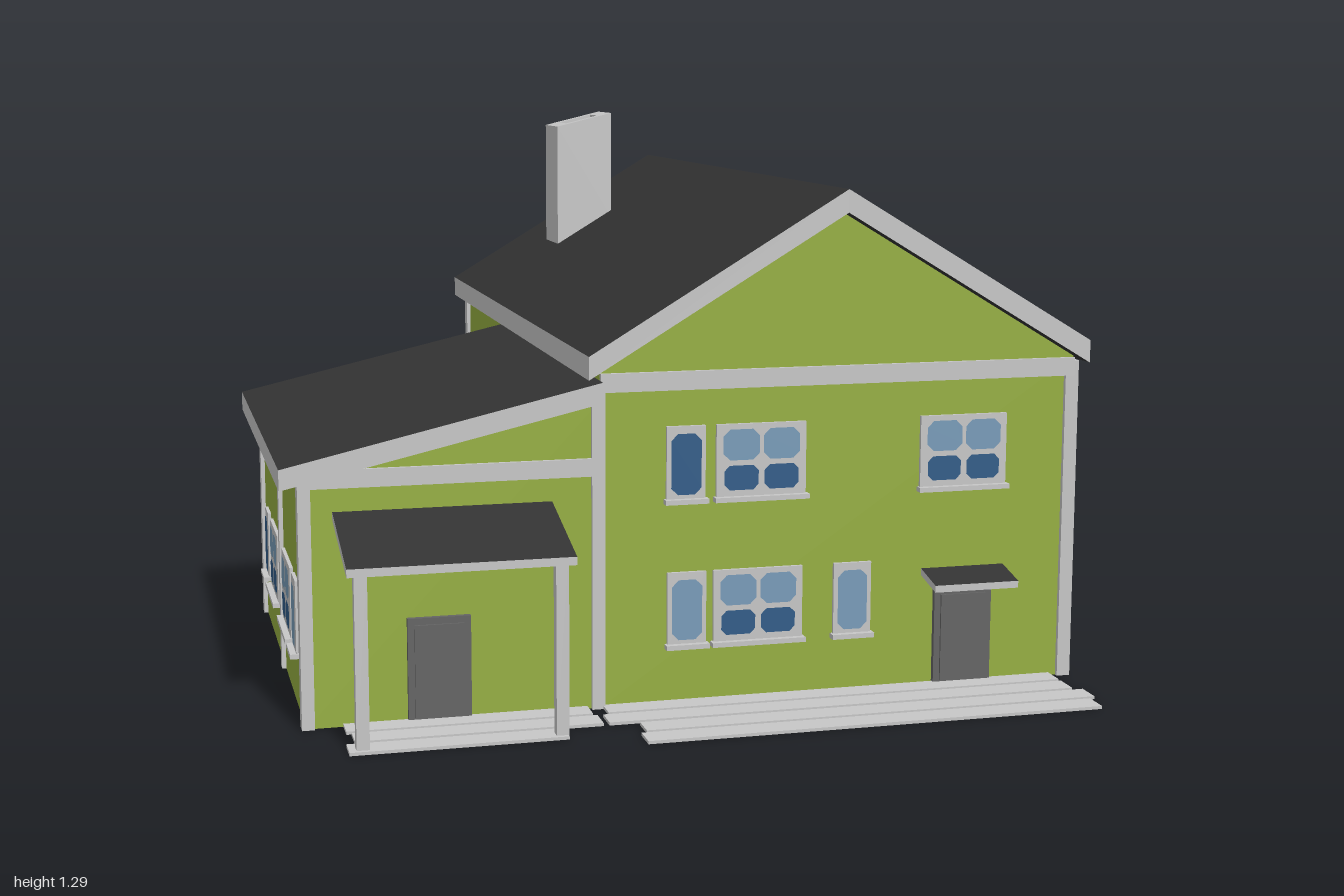
import * as THREE from 'three';

const mat = (name, color, extra = {}) => {
  const m = new THREE.MeshStandardMaterial({ color, ...extra });
  m.name = name;
  return m;
};

export function createModel() {
  const green = mat('greenWall', 0x95ae41, { side: THREE.DoubleSide });
  const trim = mat('lightTrim', 0xc6c6c6);
  const black = mat('roofBlack', 0x333333);
  const grey = mat('doorGrey', 0x646464);
  const paleGlass = mat('paleGlass', 0x789bb8);
  const darkGlass = mat('darkGlass', 0x315c88);

  const house = new THREE.Group();
  house.name = 'house';

  // Wall planes: main block and side wing
  const XL = -0.225, XR = 0.9, XW = -0.88, ZF = 0.72, ZB = -0.96, ZW = -0.33;
  const mainRoofY = (x) => 1.155 - 0.6 * Math.abs(x - 0.33);
  const wingRoofY = (x) => 0.74 + 0.229 * (x + 0.23);

  const add = (name, geo, material, parent = house) => {
    const mesh = new THREE.Mesh(geo, material);
    mesh.name = name;
    parent.add(mesh);
    return mesh;
  };
  // Box given by its limits
  const box = (name, x0, x1, y0, y1, z0, z1, material = trim, parent = house) => {
    const geo = new THREE.BoxGeometry(x1 - x0, y1 - y0, z1 - z0);
    geo.translate((x0 + x1) / 2, (y0 + y1) / 2, (z0 + z1) / 2);
    return add(name, geo, material, parent);
  };
  // Sloping slab with dark top and underside and light edges
  const slab = (name, x0, x1, z0, z1, topY, thick) => {
    const mesh = box(name, x0, x1, -thick, 0, z0, z1, [trim, trim, black, black, trim, trim]);
    const p = mesh.geometry.attributes.position;
    for (let i = 0; i < p.count; i++) p.setY(i, p.getY(i) + topY(p.getX(i), p.getZ(i)));
    mesh.geometry.computeVertexNormals();
  };
  const polygon = (pts) => new THREE.ShapeGeometry(new THREE.Shape(pts.map(([x, y]) => new THREE.Vector2(x, y))));

  // Gable walls
  const under = 0.053;
  const gable = [[XL, 0], [XR, 0], [XR, mainRoofY(XR) - under], [0.33, 1.155 - under], [XL, mainRoofY(XL) - under]];
  const wingEnd = [[XW, 0], [XL, 0], [XL, wingRoofY(XL) - 0.045], [XW, wingRoofY(XW) - 0.045]];
  for (const [name, pts, z] of [['mainFrontWall', gable, ZF], ['mainBackWall', gable, ZB],
    ['wingFrontWall', wingEnd, ZF], ['wingBackWall', wingEnd, ZW]]) {
    // Back walls are turned to face outwards
    const back = z < 0;
    const geo = polygon(back ? pts.map(([x, y]) => [-x, y]) : pts);
    if (back) geo.rotateY(Math.PI);
    add(name, geo, green).position.z = z;
  }

  // Side walls
  const sideWall = (name, x, z0, z1, y0, y1, dir) => {
    const geo = new THREE.PlaneGeometry(z1 - z0, y1 - y0).rotateY(dir * Math.PI / 2);
    add(name, geo, green).position.set(x, (y0 + y1) / 2, (z0 + z1) / 2);
  };
  sideWall('mainRightWall', XR, ZB, ZF, 0, 0.76, 1);
  sideWall('mainLeftWall', XL, ZB, ZW, 0, 0.77, -1);
  sideWall('wallOverWing', XL, ZW, ZF, 0.68, 0.77, -1);
  sideWall('wingLeftWall', XW, ZW, ZF, 0, 0.545, -1);

  // Roofs
  slab('mainRoofLeft', -0.26, 0.33, -1, 0.765, mainRoofY, 0.052);
  slab('mainRoofRight', 0.33, 0.92, -1, 0.765, mainRoofY, 0.052);
  slab('wingRoof', -0.93, XL, -0.36, 0.75, wingRoofY, 0.046);

  // Corner posts
  const t = 0.01;
  box('cornerPost', 0.878, XR + t, 0, 0.75, 0.69, ZF + t);
  box('cornerPost', 0.878, XR + t, 0, 0.75, ZB - t, -0.935);
  box('cornerPost', XL - t, XL + 0.022, 0, 0.75, ZB - t, -0.935);
  box('junctionPost', XL - 0.02, XL + t, 0, 0.735, 0.69, ZF + t);
  box('junctionPost', XL - 0.015, XL + t, 0, 0.69, ZW - 0.015, ZW + 0.015);
  box('wingPost', XW - t, XW + 0.018, 0, 0.55, 0.69, ZF + t);
  box('wingPost', XW - t, XW + 0.018, 0, 0.55, ZW - t, ZW + 0.03);

  // Posts dividing the long walls
  for (const z of [0.105, -0.38]) box('wallPost', XR - 0.005, XR + t, 0, 0.75, z - 0.016, z + 0.016);
  box('wallPost', 0.315, 0.345, 0, 0.72, ZB - t, ZB + 0.005);
  box('wallPost', XW - t, XW + 0.005, 0, 0.54, 0.205, 0.235);

  // Horizontal friezes
  for (const [z0, z1] of [[ZF - 0.005, ZF + t], [ZB - t, ZB + 0.005]])
    box('mainFrieze', XL, XR, 0.715, 0.757, z0, z1);
  for (const [z0, z1] of [[ZF - 0.005, ZF + t - 0.001], [ZW - t, ZW + 0.005]])
    box('wingFrieze', XW, XL, 0.53, 0.57, z0, z1);
  box('sideFrieze', XL - t, XL + 0.005, 0.53, 0.57, ZB, ZW);

  // Windows: local z points out of the wall
  const pane = (w, h) => {
    const c = Math.min(w, h) * 0.22, a = w / 2, b = h / 2;
    return polygon([[-a + c, -b], [a - c, -b], [a, -b + c], [a, b - c], [a - c, b], [-a + c, b], [-a, b - c], [-a, -b + c]]);
  };
  const place = {
    front: (g, u) => { g.position.set(u, 0, ZF); },
    back: (g, u) => { g.position.set(u, 0, ZB); g.rotation.y = Math.PI; },
    wingBack: (g, u) => { g.position.set(u, 0, ZW); g.rotation.y = Math.PI; },
    right: (g, u) => { g.position.set(XR, 0, u); g.rotation.y = Math.PI / 2; },
    left: (g, u) => { g.position.set(XL, 0, u); g.rotation.y = -Math.PI / 2; },
    wingLeft: (g, u) => { g.position.set(XW, 0, u); g.rotation.y = -Math.PI / 2; },
  };
  const windowAt = (wall, u, y, kind) => {
    const g = new THREE.Group();
    g.name = 'window';
    const w = kind === 'wide' ? 0.21 : 0.09;
    box('windowFrame', -w / 2, w / 2, 0, 0.172, -0.005, 0.008, trim, g);
    box('windowSill', -w / 2 - 0.005, w / 2 + 0.005, -0.003, 0.008, 0, 0.022, trim, g);
    if (kind === 'wide') {
      for (const x of [-0.047, 0.047]) {
        add('upperPane', pane(0.085, 0.07), paleGlass, g).position.set(x, 0.125, 0.01);
        add('lowerPane', pane(0.08, 0.056), darkGlass, g).position.set(x, 0.05, 0.01);
      }
    } else {
      const glass = kind === 'dark' ? darkGlass : paleGlass;
      add('tallPane', pane(0.07, 0.138), glass, g).position.set(0, 0.086, 0.01);
    }
    place[wall](g, u);
    g.position.y = y;
    house.add(g);
  };
  const low = 0.13, high = 0.462;
  windowAt('front', -0.03, high, 'dark');
  windowAt('front', 0.145, high, 'wide');
  windowAt('front', 0.63, high, 'wide');
  windowAt('front', -0.027, low, 'pale');
  windowAt('front', 0.14, low, 'wide');
  windowAt('front', 0.365, low, 'pale');
  for (const y of [low, high]) {
    windowAt('right', 0.56, y, 'dark');
    for (const z of [0.38, -0.135, -0.615]) windowAt('right', z, y, 'wide');
    windowAt('right', -0.797, y, 'dark');
    windowAt('back', 0.74, y, 'pale');
    windowAt('back', 0.555, y, 'wide');
    windowAt('back', 0.13, y, 'wide');
    windowAt('back', -0.05, y, 'dark');
  }
  windowAt('left', -0.66, low, 'pale');
  windowAt('wingBack', -0.61, low, 'wide');
  windowAt('wingLeft', -0.17, low, 'dark');
  windowAt('wingLeft', 0.04, low, 'wide');
  windowAt('wingLeft', 0.37, low, 'wide');
  windowAt('wingLeft', 0.56, low, 'pale');

  // Doors with raised panel
  for (const [x, h] of [[-0.588, 0.235], [0.635, 0.23]]) {
    box('doorFrame', x - 0.07, x + 0.07, 0.008, h, ZF - 0.005, ZF + 0.012, grey);
    box('doorPanel', x - 0.055, x + 0.055, 0.012, h - 0.015, ZF, ZF + 0.017, grey);
  }

  // Porch over the wing door, canopy over the main door
  slab('porchRoof', -0.815, -0.333, ZF, 0.97, (x, z) => 0.41 + (0.97 - z) * 0.27, 0.018);
  for (const x of [-0.78, -0.352]) box('porchPost', x - 0.014, x + 0.014, 0, 0.412, 0.887, 0.913);
  slab('doorCanopy', 0.535, 0.737, ZF, 0.81, (x, z) => 0.257 + (0.81 - z) * 0.22, 0.016);

  // Thin ground planks in front of both doors
  for (const [x0, x1, z0, z1] of [
    [-0.22, 0.86, 0.72, 0.778], [-0.235, 0.86, 0.79, 0.85], [-0.17, 0.88, 0.863, 0.923], [-0.185, 0.863, 0.935, 0.995],
    [-0.8, -0.255, 0.72, 0.778], [-0.79, -0.248, 0.79, 0.85], [-0.81, -0.34, 0.863, 0.923],
  ]) box('groundPlank', x0, x1, 0, 0.007, z0, z1);

  // Hollow chimney with slanted top, foot following the roof
  const square = (path, x0, x1, y0, y1) => path.moveTo(x0, y0).lineTo(x1, y0).lineTo(x1, y1).lineTo(x0, y1).closePath();
  const ring = square(new THREE.Shape(), -0.042, 0.11, 0.562, 0.718);
  ring.holes.push(square(new THREE.Path(), -0.01, 0.078, 0.595, 0.685));
  const flue = new THREE.ExtrudeGeometry(ring, { depth: 1, bevelEnabled: false }).rotateX(-Math.PI / 2);
  const p = flue.attributes.position;
  for (let i = 0; i < p.count; i++) {
    const x = p.getX(i);
    p.setY(i, p.getY(i) > 0.5 ? 1.265 + 0.24 * x : mainRoofY(x) - 0.02);
  }
  flue.computeVertexNormals();
  add('chimney', flue, trim);

  return house;
}
